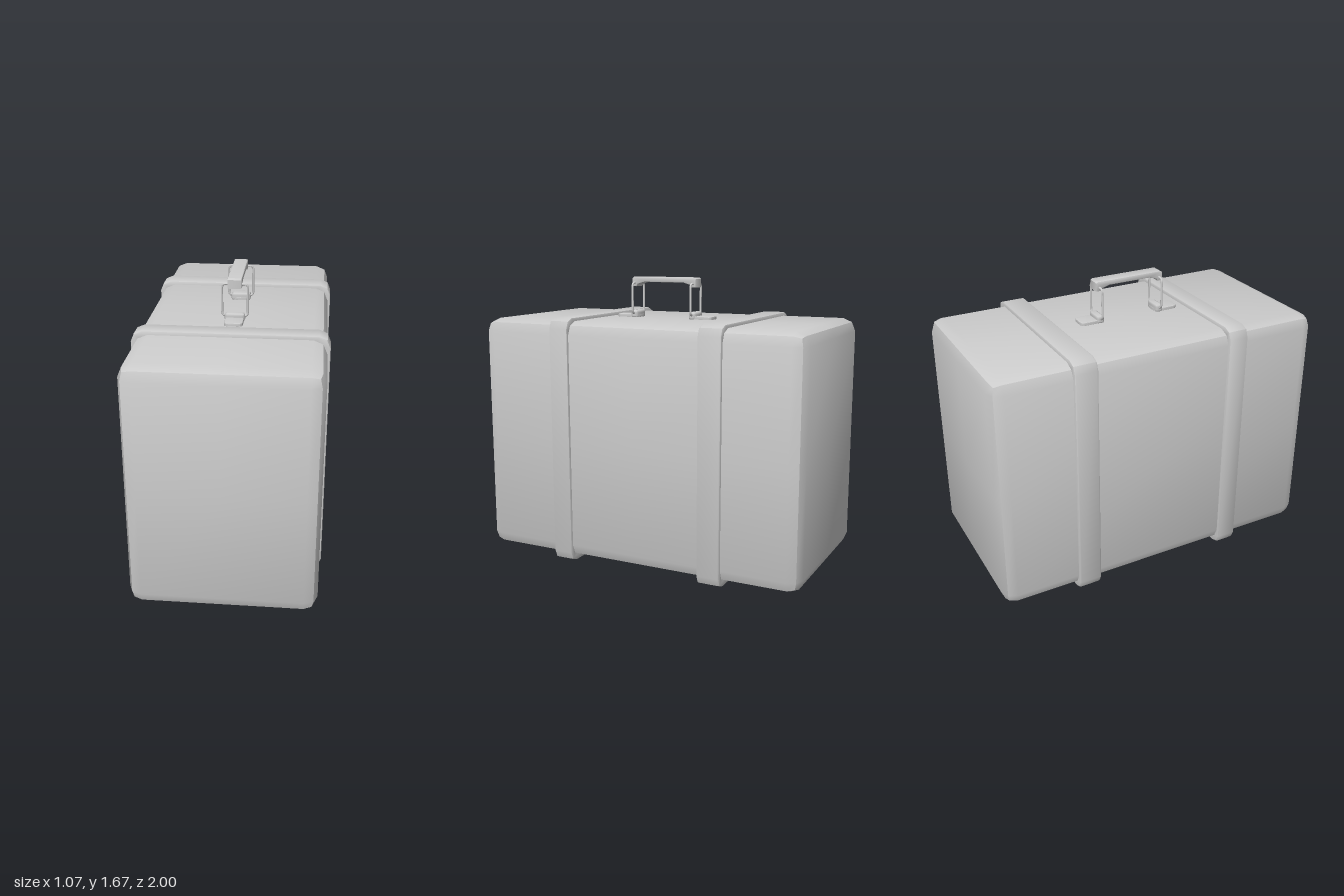
import * as THREE from 'three';
import { toCreasedNormals } from 'three/addons/utils/BufferGeometryUtils.js';

const material = new THREE.MeshStandardMaterial({ color: 0xcccccc });

function part(name, geometry, crease = 0.6) {
  const mesh = new THREE.Mesh(toCreasedNormals(geometry, crease), material);
  mesh.name = name;
  return mesh;
}

// Box whose edges are rounded in two facets of radius r
function softBox(w, h, d, r) {
  const geo = new THREE.BoxGeometry(4, 4, 4, 4, 4, 4);
  const pos = geo.attributes.position;
  const inner = new THREE.Vector3(w / 2 - r, h / 2 - r, d / 2 - r);
  const grid = new THREE.Vector3(), core = new THREE.Vector3(), out = new THREE.Vector3();
  for (let i = 0; i < pos.count; i++) {
    grid.fromBufferAttribute(pos, i).round();
    for (const a of ['x', 'y', 'z']) {
      core[a] = Math.sign(grid[a]) * inner[a];
      out[a] = Math.abs(grid[a]) === 2 ? Math.sign(grid[a]) : 0;
    }
    core.addScaledVector(out.normalize(), r);
    pos.setXYZ(i, core.x, core.y, core.z);
  }
  return geo;
}

// Rectangle outline with rounded corners, counter-clockwise
function roundedRect(w, h, r, steps) {
  const points = [];
  [[1, 1], [-1, 1], [-1, -1], [1, -1]].forEach(([sx, sy], quarter) => {
    for (let i = 0; i <= steps; i++) {
      const a = (quarter + i / steps) * Math.PI / 2;
      points.push(new THREE.Vector2(
        sx * (w / 2 - r) + r * Math.cos(a), sy * (h / 2 - r) + r * Math.sin(a)));
    }
  });
  return points;
}

function extrude(shape, depth, bevel) {
  const geo = new THREE.ExtrudeGeometry(shape, {
    depth: depth - 2 * bevel, bevelThickness: bevel, bevelSize: bevel,
    bevelOffset: -bevel, bevelSegments: 2
  });
  return geo.translate(0, 0, bevel - depth / 2);
}

function strap(name, z, width) {
  const shape = new THREE.Shape(roundedRect(1.07, 1.455, 0.062, 2));
  shape.holes.push(new THREE.Path(roundedRect(0.97, 1.34, 0.05, 2)));
  const mesh = part(name, extrude(shape, width, 0.01));
  mesh.position.set(0, 0.7275, z);
  return mesh;
}

// Plate, hinge knuckle and wire loop at one end of the handle
function handleMount(name, z, side) {
  const mount = new THREE.Group();
  mount.name = name;

  const plate = part('mountPlate', extrude(new THREE.Shape(roundedRect(0.104, 0.145, 0.026, 3)), 0.022, 0.005));
  plate.rotation.x = -Math.PI / 2;
  plate.position.set(0, 1.441, side * 0.048);
  const knuckle = part('hingeKnuckle', softBox(0.115, 0.05, 0.046, 0.016), 0.9);
  knuckle.position.set(0, 1.452, 0);

  const path = new THREE.CurvePath();
  const corners = roundedRect(0.144, 0.182, 0.018, 3).map(p => new THREE.Vector3(p.x, p.y, 0));
  corners.forEach((p, i) => path.add(new THREE.LineCurve3(p, corners[(i + 1) % corners.length])));
  const loop = part('wireLoop', new THREE.TubeGeometry(path, 64, 0.0065, 8, true), 1);
  loop.position.y = 1.549;

  mount.add(plate, knuckle, loop);
  mount.position.z = z;
  return mount;
}

export function createModel() {
  const model = new THREE.Group();
  model.name = 'suitcase';

  // Case body
  const body = part('caseBody', softBox(1.036, 1.404, 2, 0.075));
  body.position.y = 0.732;
  model.add(body);

  // Bands around the case
  model.add(strap('frontStrap', 0.461, 0.12), strap('rearStrap', -0.48, 0.138));

  // Handle grip: side profile with lowered ends, extruded across the width
  const profile = [
    [0.235, 1.675], [-0.165, 1.675], [-0.176, 1.667], [-0.176, 1.618], [-0.148, 1.618],
    [-0.138, 1.632], [-0.095, 1.645], [0.165, 1.645], [0.208, 1.632], [0.218, 1.618],
    [0.247, 1.618], [0.247, 1.667]
  ].map(([z, y]) => new THREE.Vector2(z, y));
  const grip = part('handleGrip', extrude(new THREE.Shape(profile), 0.08, 0.006).rotateY(-Math.PI / 2));
  model.add(grip);

  model.add(handleMount('frontHandleMount', 0.226, 1), handleMount('rearHandleMount', -0.157, -1));
  return model;
}
